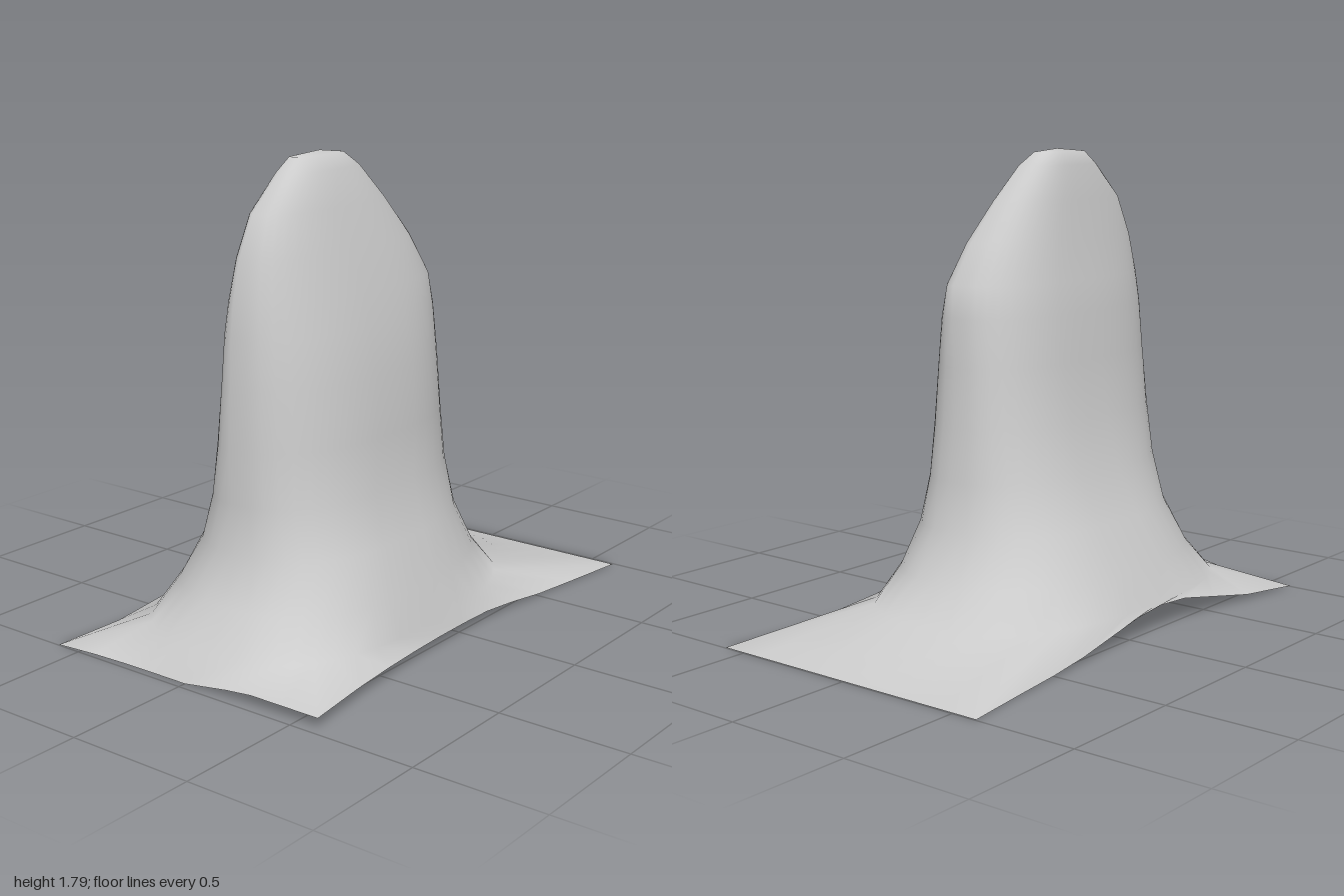
import * as THREE from 'three';

// Horizontal cross-sections of the spire, bottom to top.
// y, left x, right x, back z, front z, x of back tip, x of front tip, z of left, z of right, roundness
const SECTIONS = [
  [0.10, -0.50, 0.50, -0.60, 0.90, 0.00, 0.05, 0.20, 0.20, 0.75],
  [0.23, -0.445, 0.455, -0.48, 0.78, 0.03, 0.03, 0.15, 0.25, 0.8],
  [0.40, -0.345, 0.385, -0.385, 0.70, 0.05, 0.00, 0.15, 0.20, 0.8],
  [0.58, -0.27, 0.325, -0.355, 0.685, 0.07, -0.02, 0.12, 0.17, 0.8],
  [0.78, -0.215, 0.305, -0.33, 0.68, 0.07, -0.03, 0.12, 0.12, 0.8],
  [1.00, -0.18, 0.285, -0.31, 0.67, 0.08, -0.03, 0.12, 0.10, 0.8],
  [1.18, -0.16, 0.25, -0.30, 0.655, 0.10, -0.035, 0.12, 0.10, 0.8],
  [1.30, -0.135, 0.22, -0.28, 0.64, 0.11, -0.035, 0.14, 0.10, 0.8],
  [1.45, -0.105, 0.18, -0.19, 0.61, 0.10, -0.03, 0.17, 0.13, 0.8],
  [1.60, -0.08, 0.13, -0.08, 0.55, 0.07, -0.02, 0.20, 0.20, 0.8],
  [1.73, -0.055, 0.085, 0.04, 0.42, 0.05, -0.01, 0.22, 0.20, 0.8],
  [1.78, -0.03, 0.04, 0.10, 0.355, 0.03, -0.01, 0.22, 0.20, 0.8],
];
const SEGMENTS = 40;

// Edge of the ground sheet: a waisted rectangle with gently lifted sides
function borderPoint(t) {
  const c = Math.cos(t), s = Math.sin(t), m = Math.max(Math.abs(c), Math.abs(s));
  const u = c / m, v = s / m;
  const z = v > 0 ? v * (0.97 + 0.03 * Math.max(0, -u) ** 3) : v * 0.995;
  const x = u * (0.52 + 0.08 * z * z);
  const leftLift = 0.1 * Math.exp(-(((z - 0.2) / 0.42) ** 2));
  const rightLift = 0.04 * THREE.MathUtils.smoothstep(z, -0.65, -0.1);
  const lift = u < 0 ? leftLift * u * u : rightLift * Math.min(1, u * 2.2);
  return [x, lift, z];
}

// Four superellipse quadrants joining the extreme points of one section
function sectionPoint([y, xL, xR, zB, zF, xB, xF, zL, zR, e], t) {
  const c = Math.cos(t), s = Math.sin(t);
  const xTip = s > 0 ? xF : xB, zTip = s > 0 ? zF : zB;
  const xSide = c > 0 ? xR : xL, zSide = c > 0 ? zR : zL;
  return [
    xTip + (xSide - xTip) * Math.abs(c) ** e,
    y,
    zSide + (zTip - zSide) * Math.abs(s) ** e,
  ];
}

export function createModel() {
  const positions = [], indices = [];
  const rings = [borderPoint, ...SECTIONS.map((row) => (t) => sectionPoint(row, t))];
  for (const ring of rings) {
    for (let i = 0; i < SEGMENTS; i++) positions.push(...ring((i / SEGMENTS) * Math.PI * 2));
  }

  // Skin between neighbouring rings
  for (let r = 0; r < rings.length - 1; r++) {
    for (let i = 0; i < SEGMENTS; i++) {
      const j = (i + 1) % SEGMENTS;
      const a = r * SEGMENTS + i, b = r * SEGMENTS + j;
      indices.push(a, a + SEGMENTS, b, b, a + SEGMENTS, b + SEGMENTS);
    }
  }

  // Cap at the summit
  const apex = positions.length / 3, last = (rings.length - 1) * SEGMENTS;
  positions.push(0, 1.792, 0.2);
  for (let i = 0; i < SEGMENTS; i++) indices.push(last + i, apex, last + ((i + 1) % SEGMENTS));

  const geometry = new THREE.BufferGeometry();
  geometry.setAttribute('position', new THREE.Float32BufferAttribute(positions, 3));
  geometry.setIndex(indices);
  geometry.computeVertexNormals();

  const spire = new THREE.Mesh(
    geometry,
    new THREE.MeshStandardMaterial({ color: 0xcccccc, side: THREE.DoubleSide })
  );
  spire.name = 'rockSpireWithGroundSheet';
  const group = new THREE.Group();
  group.name = 'rockSpire';
  group.add(spire);
  return group;
}
